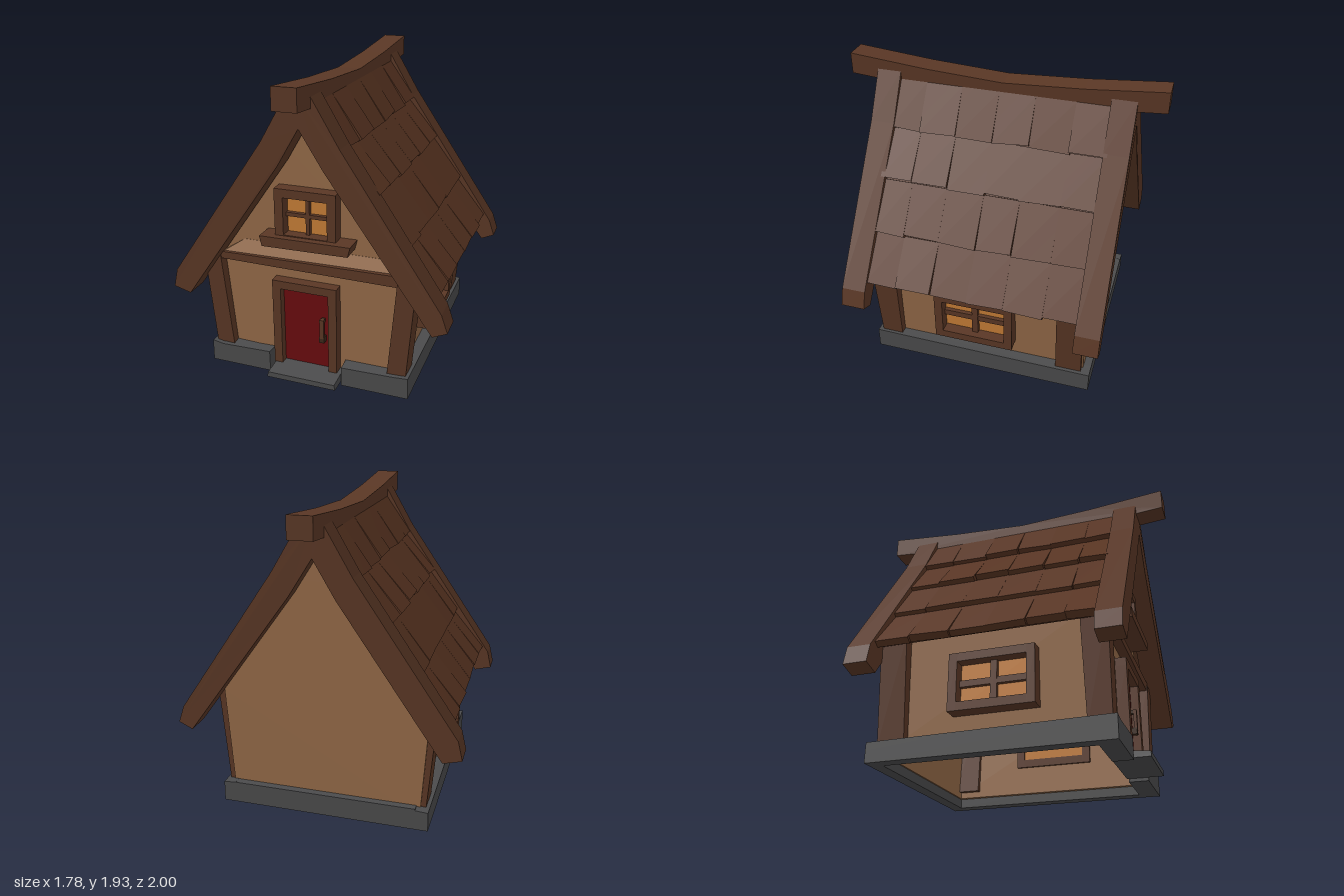
import * as THREE from 'three';

const mat = (name, color, side = THREE.FrontSide) => {
  const m = new THREE.MeshStandardMaterial({ color, side });
  m.name = name;
  return m;
};

export function createModel() {
  const wood = mat('dark wood', 0x5a3725);
  const shingleWood = mat('shingle wood', 0x5a3522);
  const plaster = mat('tan plaster', 0x946a48, THREE.DoubleSide);
  const glass = mat('amber glass', 0xc67d36);
  const stone = mat('grey stone', 0x4b4b4c);
  const red = mat('red door', 0x690c0f);
  const metal = mat('handle brown', 0x3c291b);

  const house = new THREE.Group();
  house.name = 'cottage';
  const CX = -0.025; // centre of the walls

  let seed = 7;
  const jitter = (a) => {
    seed = (seed * 16807) % 2147483647;
    return (seed / 2147483647 - 0.5) * 2 * a;
  };
  const add = (name, geo, material, parent = house) => {
    const m = new THREE.Mesh(geo, material);
    m.name = name;
    parent.add(m);
    return m;
  };
  // Box from min to max corners
  const box = (name, material, x0, x1, y0, y1, z0, z1, parent) => {
    const g = new THREE.BoxGeometry(x1 - x0, y1 - y0, z1 - z0);
    g.translate((x0 + x1) / 2, (y0 + y1) / 2, (z0 + z1) / 2);
    return add(name, g, material, parent);
  };
  // Box whose corners (u, v, w in 0..1) are placed by a rule
  const warp = (name, material, rule, parent) => {
    const g = new THREE.BoxGeometry(1, 1, 1);
    const p = g.attributes.position;
    for (let i = 0; i < p.count; i++) {
      p.setXYZ(i, ...rule(p.getX(i) + 0.5, p.getY(i) + 0.5, p.getZ(i) + 0.5));
    }
    g.computeVertexNormals();
    return add(name, g, material, parent);
  };
  const lerp = THREE.MathUtils.lerp;
  const extrude = (points, z0, z1) => {
    const s = new THREE.Shape(points.map(([x, y]) => new THREE.Vector2(x, y)));
    return new THREE.ExtrudeGeometry(s, { depth: z1 - z0, bevelEnabled: false }).translate(0, 0, z0);
  };

  // Stone footing, split at the front for the doorway
  const footing = (x0, x1, z0, z1) => {
    const tops = [0, 1, 2, 3].map(() => 0.135 + jitter(0.01));
    warp('footing', stone, (u, v, w) => [
      lerp(x0, x1, u) + (v ? 0 : 0.004 * (u - 0.5)), v ? tops[u * 2 + w] : 0, lerp(z0, z1, w)]);
  };
  footing(-0.69, -0.61, -0.75, 0.735);
  footing(0.56, 0.64, -0.75, 0.735);
  footing(-0.61, 0.56, -0.75, -0.67);
  footing(-0.61, -0.28, 0.61, 0.735);
  footing(0.21, 0.56, 0.61, 0.735);
  warp('doorStep', stone, (u, v, w) => [
    lerp(-0.255, 0.205, u) * (v ? 0.97 : 1), v ? lerp(0.075, 0.055, w) : 0.02, lerp(0.6, 0.83, w)]);

  // Gable walls
  const gable = (half, z0, z1) => add('gableWall', extrude([
    [CX - half, 0.06], [CX + half, 0.06], [CX + half + 0.045, 0.76], [0.15, 1.5], [-0.005, 1.75],
    [-0.16, 1.5], [CX - half - 0.045, 0.76]], z0, z1), plaster);
  gable(0.59, 0.61, 0.65);
  gable(0.605, -0.7, -0.66);

  // Side walls, leaning outwards, and the corner posts
  for (const s of [-1, 1]) {
    const side = s > 0 ? (u) => u : (u) => 1 - u;
    warp('sideWall', plaster, (u, v, w) => [
      CX + s * (lerp(0.588, 0.63, v) - 0.035 * (1 - side(u))), lerp(0.06, 0.84, v), lerp(-0.69, 0.645, w)]);
    for (const [z0, z1, d] of [[0.565, 0.705, 0.012], [-0.69, -0.52, 0]]) {
      warp('cornerPost', wood, (u, v, w) => [
        CX + s * (side(u) ? lerp(0.64, 0.695, v) : lerp(0.52, 0.58, v)),
        lerp(0.1, 0.765, v), lerp(z0, z1, w) + d * v * (w ? 1 : -1)]);
    }
  }

  // Cross beam and the sloping ledge above it
  warp('crossBeam', wood, (u, v, w) => [
    lerp(-0.64, 0.6, u), (v ? lerp(0.785, 0.8, u) : lerp(0.74, 0.728, u)), lerp(0.63, 0.71, w)]);
  warp('plasterLedge', plaster, (u, v, w) => [
    v ? lerp(-0.46, 0.44, u) : lerp(-0.6, 0.58, u), v ? 0.87 : 0.78, w ? lerp(0.69, 0.652, v) : 0.63]);

  // Door, frame and handle
  const door = new THREE.Group();
  door.name = 'door';
  house.add(door);
  box('doorPanel', red, -0.2, 0.125, 0.07, 0.605, 0.595, 0.668, door);
  box('doorFrameSide', wood, -0.25, -0.195, 0.07, 0.6, 0.59, 0.72, door);
  box('doorFrameSide', wood, 0.12, 0.175, 0.07, 0.6, 0.59, 0.72, door);
  box('doorFrameTop', wood, -0.25, 0.175, 0.597, 0.65, 0.59, 0.72, door);
  box('handleGrip', wood, 0.058, 0.085, 0.29, 0.42, 0.69, 0.71, door);
  box('handleMount', metal, 0.055, 0.088, 0.26, 0.3, 0.66, 0.708, door);
  box('handleMount', metal, 0.06, 0.083, 0.395, 0.418, 0.66, 0.7, door);

  // Four-pane window in local space, facing +z
  const makeWindow = (w, h, bar, muntin) => {
    const g = new THREE.Group();
    g.name = 'window';
    const x = w / 2, y = h / 2;
    box('glass', glass, -x + 0.01, x - 0.01, -y + 0.01, y - 0.01, -0.06, 0.012, g);
    for (const s of [-1, 1]) {
      const mx = s * (x - bar / 2), my = s * (y - bar / 2);
      box('frameSide', wood, mx - bar / 2, mx + bar / 2, -y, y, -0.065, 0.085, g);
      box('frameRail', wood, -x + bar, x - bar, my - bar / 2, my + bar / 2, -0.065, 0.085, g);
    }
    box('muntin', wood, -muntin / 2, muntin / 2, -y + bar, y - bar, 0, 0.04, g);
    box('muntin', wood, -x + bar, x - bar, -muntin / 2, muntin / 2, 0, 0.038, g);
    house.add(g);
    return g;
  };
  makeWindow(0.39, 0.345, 0.055, 0.024).position.set(-0.015, 1.09, 0.65);
  warp('windowSill', wood, (u, v, w) => [
    lerp(-0.28, 0.27, u) + (v ? (u - 0.5) * 0.03 : 0), v ? lerp(0.965, 0.97, u) : lerp(0.9, 0.908, u), lerp(0.63, 0.78, w)]);
  for (const s of [-1, 1]) {
    const win = makeWindow(0.525, 0.355, 0.053, 0.04);
    win.position.set(CX + s * 0.612, 0.423, 0.028);
    win.rotation.y = s * Math.PI / 2;
  }

  // Roof: shingle rows over a thin deck on each slope
  const rows = [[0.775, 0.685], [0.585, 0.965], [0.4, 1.25], [0.21, 1.52], [0.06, 1.79]];
  const seams = [0.69, 0.49, 0.26, 0.02, -0.21, -0.46, -0.69];
  for (const s of [-1, 1]) {
    const side = s > 0 ? (u) => u : (u) => 1 - u;
    const deckTop = rows.map(([x, y], i) => (i ? [x, y] : [x - 0.03, y + 0.045]));
    const deckLow = deckTop.map(([x, y]) => [x - 0.03, y - 0.018]).reverse();
    add('roofDeck', extrude([...deckTop, ...deckLow].map(([x, y]) => [s * x, y]), -0.7, 0.7), wood);
    for (let r = 0; r < 4; r++) {
      const [lx, ly] = rows[r], [hx, hy] = rows[r + 1];
      const len = Math.hypot(hx - lx, hy - ly);
      const nx = (hy - ly) / len, ny = (lx - hx) / len;
      for (let c = 0; c < 6; c++) {
        const thick = 0.045 + jitter(0.007);
        const drop = [jitter(0.03), jitter(0.03)];
        const skew = [jitter(0.006), jitter(0.006)];
        warp('shingle', shingleWood, (u, v, w) => {
          const t = v ? 1 : drop[w];
          const out = side(u) * (v ? 0.014 : thick);
          return [s * (lerp(lx, hx, t) + nx * out), lerp(ly, hy, t) + ny * out,
            seams[w ? c : c + 1] + (v ? 0 : skew[w])];
        });
      }
    }
  }

  // Barge boards at both gables, splayed slightly outwards at the eaves
  const boards = {
    '-1': [[-0.005, 1.66], [-0.005, 1.84], [-0.075, 1.85], [-0.24, 1.565], [-0.86, 0.67], [-0.888, 0.55], [-0.775, 0.52], [-0.14, 1.43]],
    '1': [[-0.005, 1.66], [-0.005, 1.84], [0.07, 1.85], [0.24, 1.565], [0.85, 0.67], [0.888, 0.56], [0.8, 0.52], [0.14, 1.43]],
  };
  for (const s of [-1, 1]) {
    for (const end of [-1, 1]) {
      const g = extrude(boards[s], end > 0 ? 0.665 : -0.82, end > 0 ? 0.82 : -0.665);
      const p = g.attributes.position;
      for (let i = 0; i < p.count; i++) {
        if (p.getY(i) < 0.7) p.setZ(i, p.getZ(i) + end * (s * end > 0 ? 0.017 : 0.005));
      }
      g.computeVertexNormals();
      add('bargeBoard', g, wood);
    }
  }

  // Sagging ridge beam
  const top = [[-1, 1.93], [-0.5, 1.885], [0, 1.857], [0.5, 1.885], [1, 1.93]];
  const low = [[1, 1.795], [0.5, 1.755], [0, 1.735], [-0.5, 1.755], [-1, 1.795]];
  const ridge = extrude([...top, ...low], -0.0725, 0.0775);
  ridge.rotateY(-Math.PI / 2);
  add('ridgeBeam', ridge, wood);

  return house;
}
